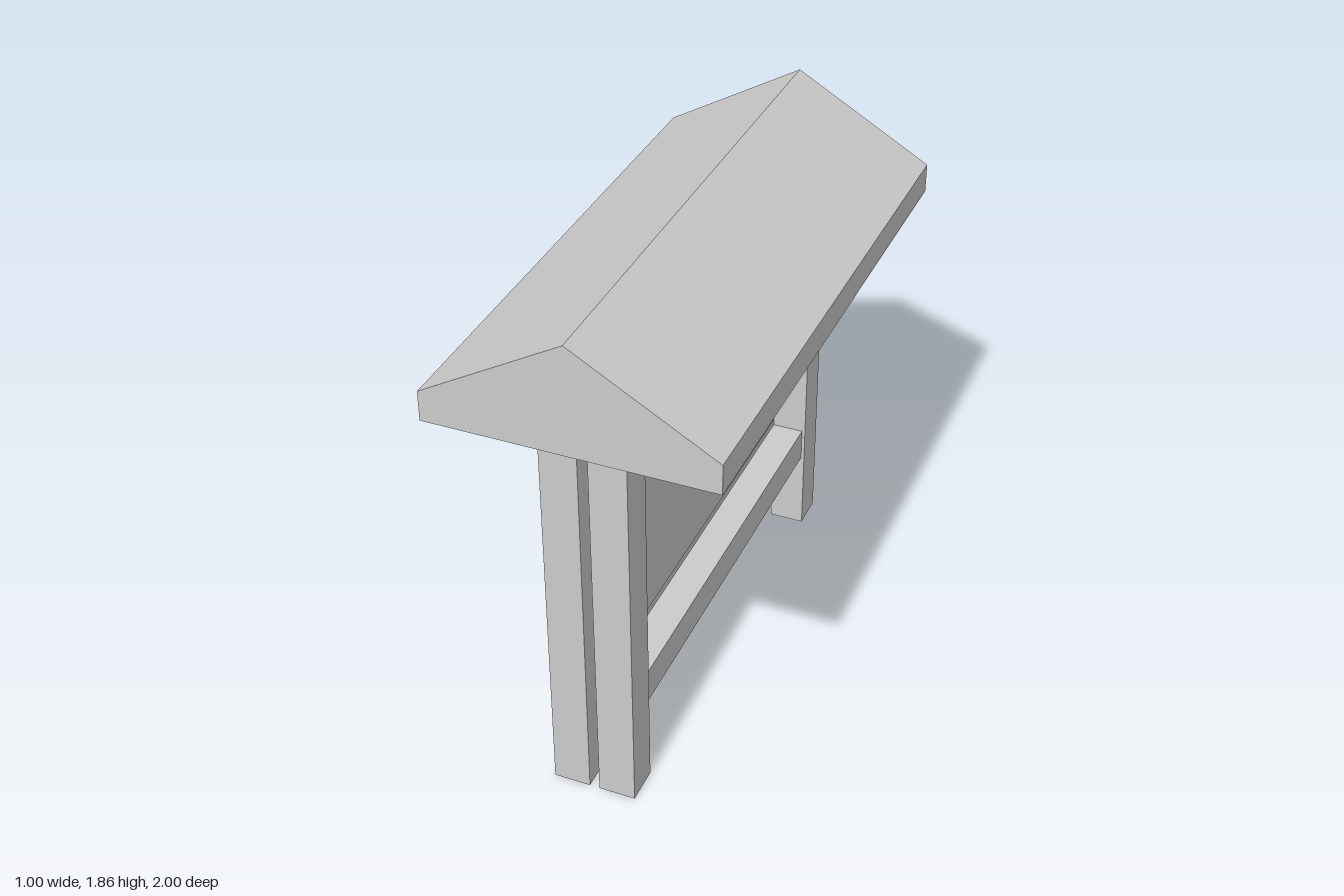
import * as THREE from 'three';

const material = new THREE.MeshStandardMaterial({ color: 0xcccccc, flatShading: true });

export function createModel() {
  const model = new THREE.Group();
  model.name = 'noticeBoard';

  const add = (name, geometry) => {
    const mesh = new THREE.Mesh(geometry, material);
    mesh.name = name;
    model.add(mesh);
    return mesh;
  };
  // box given by its limits on each axis
  const box = (name, [x0, x1], [y0, y1], [z0, z1]) =>
    add(name, new THREE.BoxGeometry(x1 - x0, y1 - y0, z1 - z0))
      .position.set((x0 + x1) / 2, (y0 + y1) / 2, (z0 + z1) / 2);

  // solid gabled roof
  const gable = new THREE.Shape([
    [-0.5, 1.465], [0.5, 1.465], [0.5, 1.573], [0, 1.86], [-0.5, 1.573],
  ].map(([x, y]) => new THREE.Vector2(x, y)));
  const roof = new THREE.ExtrudeGeometry(gable, { depth: 2, bevelEnabled: false });
  add('roof', roof.translate(0, 0, -1));

  // pairs of posts at both ends
  for (const [end, sz] of [['front', 1], ['back', -1]]) {
    for (const [side, sx] of [['Left', 1], ['Right', -1]]) {
      const span = (a, b, s) => (s > 0 ? [a, b] : [-b, -a]);
      box(`${end}${side}Post`, span(0.018, 0.15, sx), [0, 1.465], span(0.768, 0.903, sz));
    }
  }

  // rails between the posts
  box('bottomRail', [-0.138, 0.138], [0.315, 0.443], [-0.768, 0.768]);
  box('topRail', [-0.138, 0.138], [1.283, 1.411], [-0.768, 0.768]);

  // board with a slightly raised panel on both faces
  box('board', [-0.02, 0.02], [0.443, 1.283], [-0.768, 0.768]);
  box('displayPanel', [-0.03, 0.03], [0.488, 1.24], [-0.73, 0.73]);

  return model;
}
